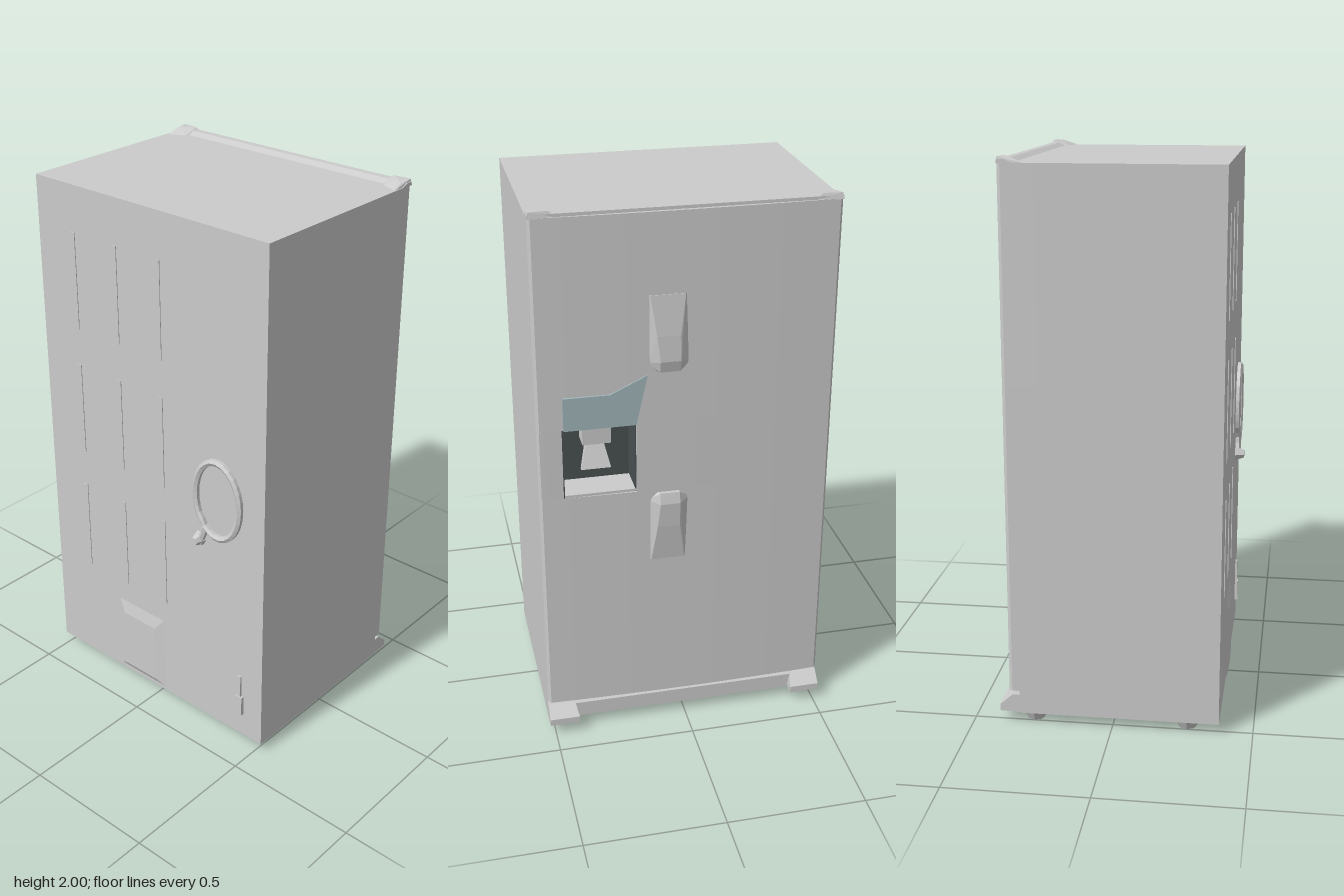
import * as THREE from 'three';
import { ConvexGeometry } from 'three/addons/geometries/ConvexGeometry.js';

const mat = (color) => new THREE.MeshStandardMaterial({ color, flatShading: true });
const grey = mat(0xcccccc), dark = mat(0x4a5052), tinted = mat(0xa3b8bc);
const HALF = 0.52;
const frontX = (z) => 0.382 - 0.01 * (z / HALF) ** 2;

export function createModel() {
  const model = new THREE.Group();

  function add(name, geometry, material = grey) {
    const mesh = new THREE.Mesh(geometry, material);
    mesh.name = name;
    model.add(mesh);
    return mesh;
  }
  // Box given by its limits on each axis
  function box(name, x0, x1, y0, y1, z0, z1, material) {
    const g = new THREE.BoxGeometry(x1 - x0, y1 - y0, z1 - z0);
    g.translate((x0 + x1) / 2, (y0 + y1) / 2, (z0 + z1) / 2);
    return add(name, g, material);
  }
  const hull = (name, pts, material) =>
    add(name, new ConvexGeometry(pts.map((p) => new THREE.Vector3(...p))), material);

  // Slightly bowed door section, with softened outer corners
  function doorBlock(name, y0, y1, z0, z1) {
    const pts = [new THREE.Vector2(0.25, -z0)];
    const n = 10;
    if (z0 === -HALF) pts.push(new THREE.Vector2(0.36, -z0));
    for (let i = 0; i <= n; i++) {
      const z = THREE.MathUtils.lerp(z0, z1, i / n);
      const inset = Math.abs(z) > HALF - 0.001 ? Math.sign(z) * 0.01 : 0;
      pts.push(new THREE.Vector2(frontX(z), -(z - inset)));
    }
    if (z1 === HALF) pts.push(new THREE.Vector2(0.36, -z1));
    pts.push(new THREE.Vector2(0.25, -z1));
    const g = new THREE.ExtrudeGeometry(new THREE.Shape(pts), { depth: y1 - y0, bevelEnabled: false });
    g.rotateX(-Math.PI / 2).translate(0, y0, 0);
    add(name, g);
  }

  // Cabinet and plinth
  box('cabinet', -0.38, 0.25, 0.035, 1.98, -HALF, HALF);
  box('plinth', 0.25, 0.335, 0.035, 0.12, -HALF, HALF);
  box('grilleSlot', 0.335, 0.342, 0.095, 0.119, -0.42, 0.42, dark);
  box('grille', 0.335, 0.365, 0.04, 0.097, -0.42, 0.42);

  // Door front, built around the dispenser opening
  const [ry0, ry1, rz0, rz1] = [0.98, 1.24, 0.18, 0.435];
  doorBlock('doorLower', 0.12, ry0, -HALF, HALF);
  doorBlock('doorUpper', ry1, 1.98, -HALF, HALF);
  doorBlock('doorMiddle', ry0, ry1, -HALF, rz0);
  doorBlock('doorMiddleEdge', ry0, ry1, rz1, HALF);

  // Dispenser recess lining, tray, spout and paddle
  const t = 0.004;
  box('recessBack', 0.25, 0.258, ry0, ry1, rz0, rz1, dark);
  box('recessRoof', 0.25, 0.375, ry1 - t, ry1, rz0, rz1, dark);
  box('recessSide', 0.25, 0.375, ry0, ry1, rz0, rz0 + t, dark);
  box('recessSide', 0.25, 0.375, ry0, ry1, rz1 - t, rz1, dark);
  box('dispenserTray', 0.25, 0.375, ry0, ry0 + 0.01, rz0, rz1);
  box('dispenserSpout', 0.27, 0.34, 1.16, 1.22, 0.26, 0.36);
  hull('dispenserPaddle', [
    [0.29, 1.17, 0.285], [0.29, 1.17, 0.335], [0.33, 1.06, 0.26], [0.33, 1.06, 0.365],
    [0.26, 1.17, 0.285], [0.26, 1.17, 0.335], [0.315, 1.06, 0.26], [0.315, 1.06, 0.365],
  ]);

  // Tinted control panel over the recess
  const panel = new THREE.Shape(
    [[-0.43, 1.24], [-0.18, 1.24], [-0.14, 1.42], [-0.27, 1.36], [-0.43, 1.36]]
      .map((p) => new THREE.Vector2(...p)));
  const panelGeo = new THREE.ExtrudeGeometry(panel, { depth: 0.015, bevelEnabled: false });
  add('controlPanel', panelGeo.rotateY(Math.PI / 2).translate(0.37, 0, 0), tinted);

  // Pair of tapered grips, mirrored about the middle of the handle
  for (const s of [1, -1]) {
    const y = (d) => 1.2 + s * d;
    hull(s > 0 ? 'upperHandle' : 'lowerHandle', [
      [0.375, y(0.5), 0], [0.375, y(0.5), 0.14], [0.384, y(0.5), 0.01], [0.384, y(0.5), 0.13],
      [0.375, y(0.26), -0.01], [0.375, y(0.26), 0.14],
      [0.4, y(0.36), 0.03], [0.4, y(0.36), 0.11],
      [0.405, y(0.27), 0.03], [0.405, y(0.27), 0.1],
      [0.395, y(0.23), 0.03], [0.395, y(0.23), 0.1], [0.375, y(0.23), 0.03], [0.375, y(0.23), 0.11],
    ]);
  }

  // Sloped trim along the top of the doors
  const trim = new THREE.Shape(
    [[0.315, 1.978], [0.37, 1.978], [0.37, 1.991], [0.345, 1.991]].map((p) => new THREE.Vector2(...p)));
  const trimGeo = new THREE.ExtrudeGeometry(trim, { depth: 2 * HALF, bevelEnabled: false });
  add('topTrim', trimGeo.translate(0, 0, -HALF));

  // Hinges, corner brackets and feet on both sides
  for (const s of [1, -1]) {
    hull('topHinge', [
      [0.275, 1.978, s * 0.515], [0.3, 1.978, s * 0.45], [0.37, 1.978, s * 0.42], [0.375, 1.978, s * HALF],
      [0.32, 1.993, s * 0.51], [0.335, 2, s * 0.49], [0.365, 2, s * 0.45], [0.37, 2, s * 0.515],
    ]);
    hull('bottomHinge', [
      [0.28, 0.035, s * 0.41], [0.28, 0.035, s * HALF], [0.405, 0.04, s * 0.41], [0.405, 0.04, s * HALF],
      [0.405, 0.065, s * 0.41], [0.405, 0.065, s * HALF], [0.36, 0.105, s * 0.42], [0.36, 0.105, s * HALF],
      [0.3, 0.105, s * 0.42], [0.3, 0.105, s * HALF],
    ]);
    for (const x of [-0.265, 0.285]) {
      const foot = add('foot', new THREE.CylinderGeometry(0.055, 0.03, 0.04, 8));
      foot.position.set(x, 0.02, s * 0.475);
      foot.scale.z = 0.75;
    }
  }

  // Coiled water hose on the back, with its end fitting and valve
  const loop = [];
  for (let i = 0; i <= 14; i++) {
    const a = -2.2 + (i / 14) * 2 * Math.PI;
    loop.push(new THREE.Vector3(-0.386, 1 + 0.15 * Math.sin(a), 0.315 + 0.1 * Math.cos(a)));
  }
  loop.push(new THREE.Vector3(-0.39, 0.8, 0.235));
  add('waterHose', new THREE.TubeGeometry(new THREE.CatmullRomCurve3(loop), 32, 0.013, 6));
  const fitting = add('hoseFitting', new THREE.CylinderGeometry(0.015, 0.03, 0.04, 6));
  fitting.rotation.z = Math.PI / 2;
  fitting.position.set(-0.395, 0.815, 0.23);
  box('waterValve', -0.392, -0.38, 0.13, 0.21, 0.405, 0.435);
  box('valvePipe', -0.388, -0.38, 0.21, 0.3, 0.412, 0.426);

  // Shallow service cover on the back
  hull('serviceCover', [
    [-0.38, 0.05, -0.19], [-0.38, 0.05, 0.04], [-0.38, 0.36, -0.19], [-0.38, 0.36, 0.04],
    [-0.39, 0.07, -0.16], [-0.39, 0.07, 0], [-0.39, 0.31, -0.16], [-0.39, 0.31, 0],
  ]);
  // Faint vertical ribs pressed into the back panel
  for (const z of [-0.36, -0.16, 0.04])
    for (const y of [0.45, 0.95, 1.45]) box('backRib', -0.383, -0.38, y, y + 0.36, z, z + 0.02);

  return model;
}
